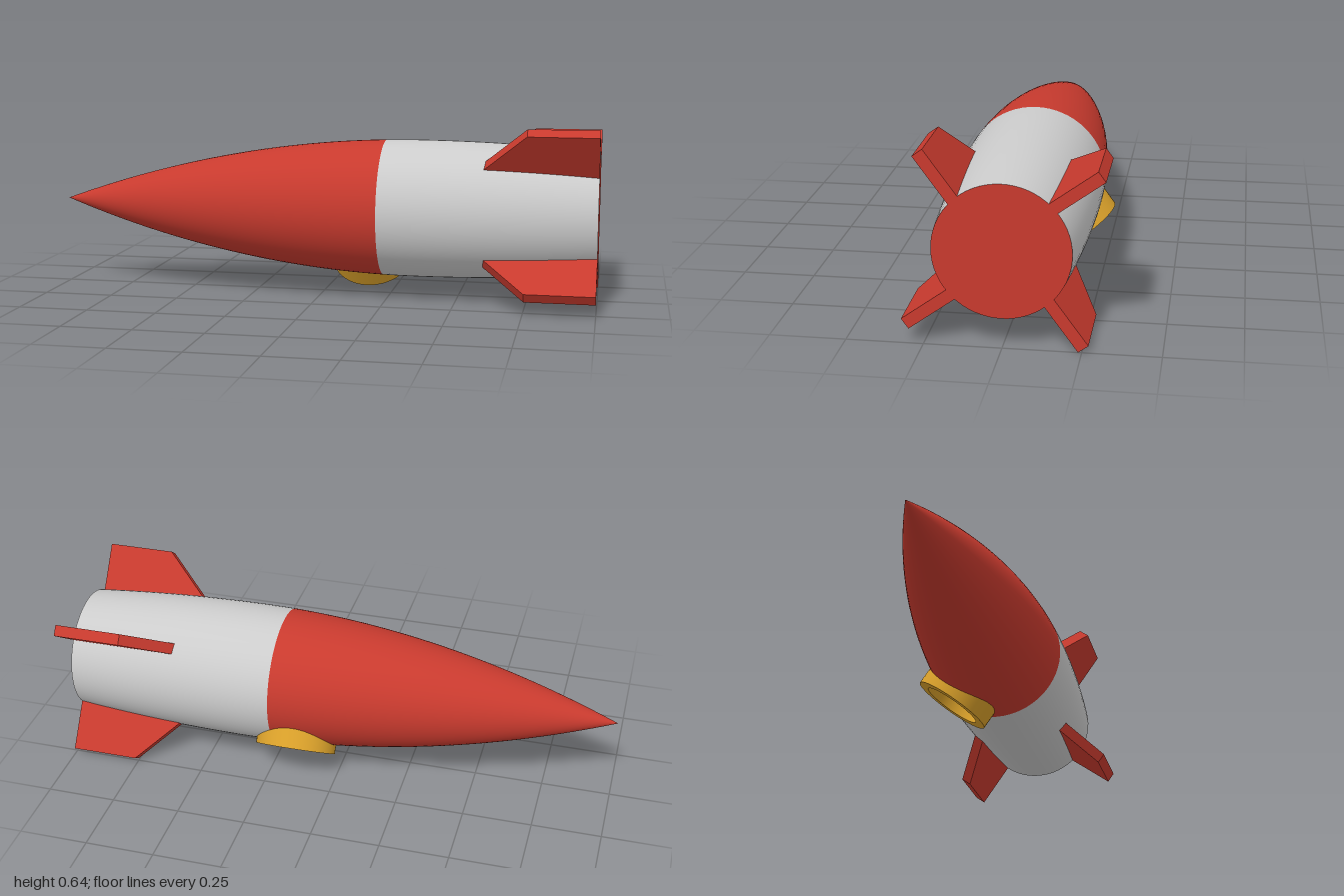
import * as THREE from 'three';
import { toCreasedNormals } from 'three/addons/utils/BufferGeometryUtils.js';

const AXIS_Y = 0.32;   // height of the rocket's long axis
const TILT = 0.626;    // roll of the fins and porthole about that axis
const PORT_X = 0.155;  // porthole centre along the hull
const SEAM = 0.23;     // where the nose meets the body

const red = new THREE.MeshStandardMaterial({ color: 0xc83a2e });
const grey = new THREE.MeshStandardMaterial({ color: 0xcccccc });
const gold = new THREE.MeshStandardMaterial({ color: 0xd9a02a });
const blue = new THREE.MeshStandardMaterial({ color: 0x5c9fb0 });

function part(name, geometry, material) {
  const mesh = new THREE.Mesh(geometry, material);
  mesh.name = name;
  return mesh;
}

// Hull radius: a long ogive nose, then a gentle taper to the tail
function hullRadius(x) {
  const d = x - 0.35;
  return d < 0 ? 0.25 * (1 - (d / 1.35) ** 2) : 0.25 - 0.03 * (d / 0.65) ** 2;
}

// Section of hull between two stations, with the porthole opening removed
function hullSection(x0, x1) {
  const steps = Math.ceil((x1 - x0) / 0.02);
  const points = [];
  for (let i = 0; i <= steps; i++) {
    const x = x0 + ((x1 - x0) * i) / steps;
    points.push(new THREE.Vector2(Math.max(hullRadius(x), 0), x));
  }
  const geometry = new THREE.LatheGeometry(points, 64).rotateZ(-Math.PI / 2);

  // The cut edge stays hidden inside the thickness of the porthole frame
  const position = geometry.attributes.position;
  const index = geometry.index.array;
  const kept = [];
  const corner = new THREE.Vector3();
  const outward = new THREE.Vector3(0, -Math.cos(TILT), -Math.sin(TILT));
  const across = new THREE.Vector3(0, -Math.sin(TILT), Math.cos(TILT));
  for (let i = 0; i < index.length; i += 3) {
    const centre = new THREE.Vector3();
    for (let k = 0; k < 3; k++) {
      centre.addScaledVector(corner.fromBufferAttribute(position, index[i + k]), 1 / 3);
    }
    const inHole = centre.dot(outward) > 0
      && Math.hypot(centre.x - PORT_X, centre.dot(across)) < 0.129;
    if (!inHole) kept.push(index[i], index[i + 1], index[i + 2]);
  }
  geometry.setIndex(kept);
  return geometry;
}

function createFins() {
  const fins = new THREE.Group();
  fins.name = 'fins';
  const outline = [[0.6, 0.15], [1, 0.15], [1, 0.399], [0.755, 0.399], [0.6, 0.24]];
  const shape = new THREE.Shape(outline.map(([x, y]) => new THREE.Vector2(x, y)));
  const geometry = new THREE.ExtrudeGeometry(shape, { depth: 0.04, bevelEnabled: false });
  geometry.translate(0, 0, 0.006);
  for (let i = 0; i < 4; i++) {
    const fin = part('fin', geometry, red);
    fin.rotation.x = TILT + (i * Math.PI) / 2;
    fins.add(fin);
  }
  return fins;
}

// Raised frame with recessed glass
function createPorthole() {
  const porthole = new THREE.Group();
  porthole.name = 'porthole';
  const profile = [[0.148, 0.16], [0.148, 0.267], [0.109, 0.267], [0.109, 0.185]]
    .map(([r, y]) => new THREE.Vector2(r, y));
  const frame = toCreasedNormals(new THREE.LatheGeometry(profile, 48), 0.6);
  porthole.add(part('portholeFrame', frame, gold));
  const glass = new THREE.CircleGeometry(0.112, 48).rotateX(-Math.PI / 2).translate(0, 0.187, 0);
  porthole.add(part('portholeGlass', glass, blue));
  porthole.position.x = PORT_X;
  porthole.rotation.x = TILT + Math.PI;
  return porthole;
}

export function createModel() {
  const rocket = new THREE.Group();
  rocket.name = 'rocket';
  rocket.position.y = AXIS_Y;

  rocket.add(part('noseCone', hullSection(-1, SEAM), red));
  rocket.add(part('body', hullSection(SEAM, 1), grey));

  // Flat disc closing the tail
  const tail = new THREE.CircleGeometry(hullRadius(1), 64).rotateY(Math.PI / 2).translate(1, 0, 0);
  rocket.add(part('tailCap', tail, red));

  rocket.add(createFins(), createPorthole());

  const model = new THREE.Group();
  model.add(rocket);
  return model;
}
